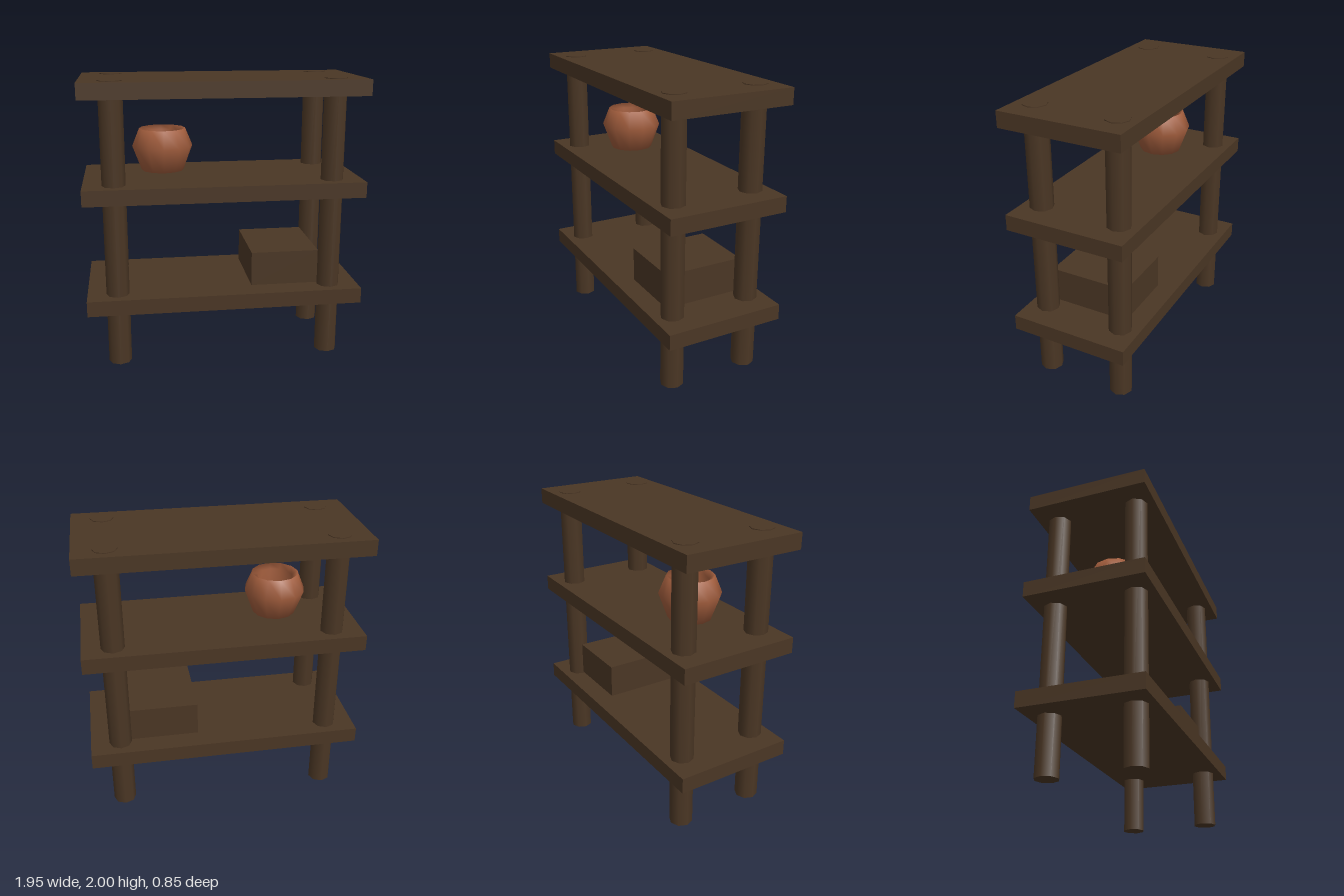
import * as THREE from 'three';

export function createModel() {
  const model = new THREE.Group();
  model.name = 'shelfUnit';

  const wood = new THREE.MeshStandardMaterial({ color: 0x4a3624 });
  wood.name = 'dark wood';
  const clay = new THREE.MeshStandardMaterial({ color: 0xa05c3c, side: THREE.DoubleSide });
  clay.name = 'terracotta';

  function add(name, geometry, material, x, y, z) {
    const mesh = new THREE.Mesh(geometry, material);
    mesh.name = name;
    mesh.position.set(x, y, z);
    model.add(mesh);
    return mesh;
  }

  // Four octagonal posts, just proud of the top board
  const postGeometry = new THREE.CylinderGeometry(0.081, 0.081, 2, 8);
  for (const [side, x] of [['Left', 0.76], ['Right', -0.76]]) {
    for (const [end, z] of [['front', 0.288], ['back', -0.288]]) {
      add(end + side + 'Post', postGeometry, wood, x, 1, z);
    }
  }

  // Three boards
  const boardGeometry = new THREE.BoxGeometry(1.946, 0.11, 0.848);
  [['bottomShelf', 0.457], ['middleShelf', 1.24], ['topShelf', 1.94]].forEach(([name, y]) => {
    add(name, boardGeometry, wood, 0, y, 0);
  });

  // Storage box on the bottom board
  add('storageBox', new THREE.BoxGeometry(0.486, 0.245, 0.576), wood, 0.438, 0.647, 0);

  // Clay pot: outer wall, rim, then hollow inside
  const profile = [
    [0, 0], [0.15, 0.032], [0.214, 0.205], [0.163, 0.33],
    [0.125, 0.3], [0.15, 0.2], [0.11, 0.08], [0, 0.06],
  ].map(([r, y]) => new THREE.Vector2(r, y));
  add('clayPot', new THREE.LatheGeometry(profile, 12), clay, -0.41, 1.306, 0);

  return model;
}
